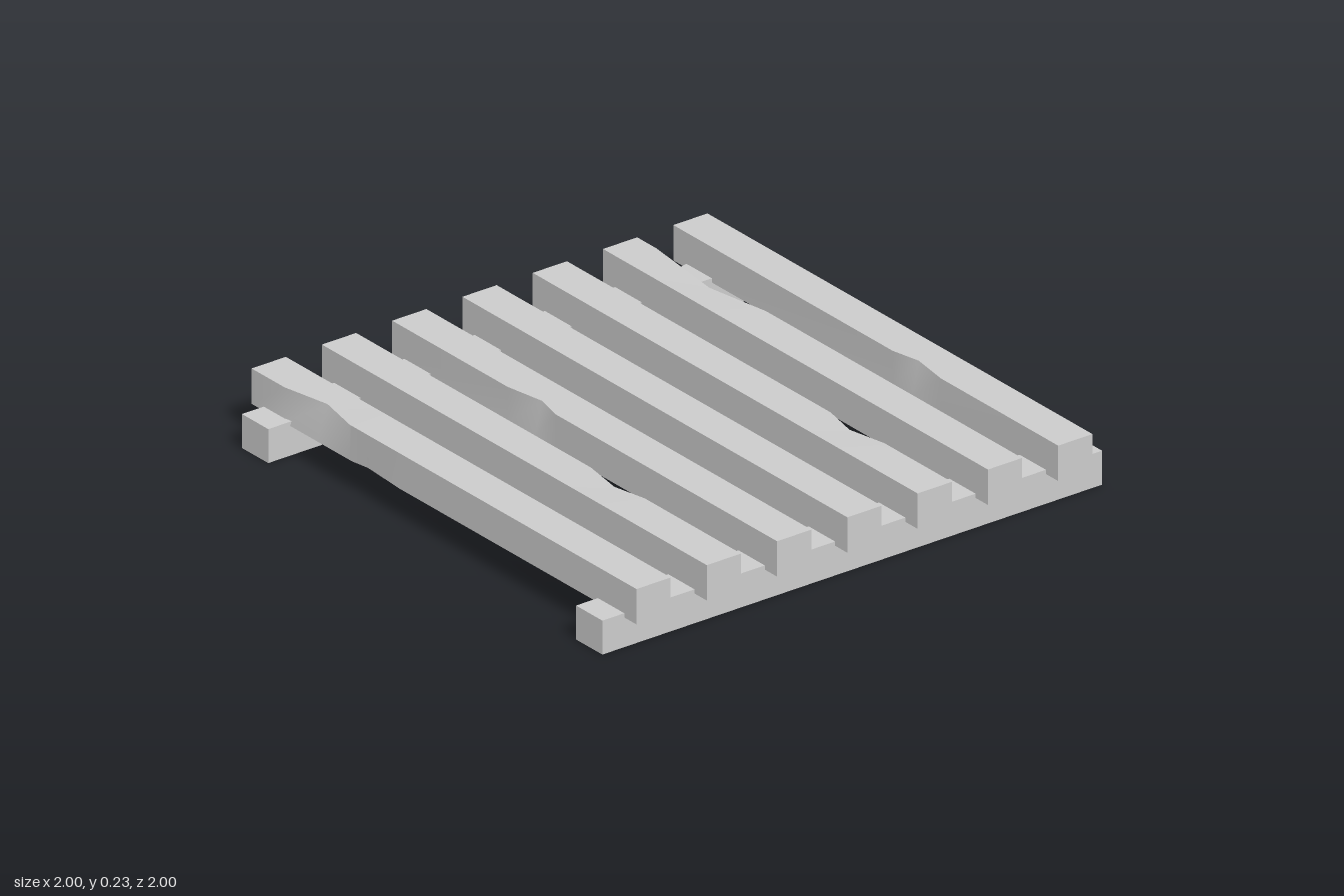
import * as THREE from 'three';

const material = new THREE.MeshStandardMaterial({ color: 0xcccccc });
const WIDTH = 0.137;

// A squared beam along x. Each nick pulls one point of a long edge inwards:
// [start, apex, end, zSide, inset, ySide, shift]
function beam(name, height, nicks) {
  const stations = [-1, 1, ...nicks.flatMap(n => n.slice(0, 3))].sort((a, b) => a - b);
  const n = stations.length - 1;
  const geometry = new THREE.BoxGeometry(n, height, WIDTH, n, 1, 1);
  const p = geometry.attributes.position;
  for (let i = 0; i < p.count; i++) {
    const x = stations[Math.round(p.getX(i) + n / 2)];
    const ySide = Math.sign(p.getY(i)), zSide = Math.sign(p.getZ(i));
    p.setX(i, x);
    for (const [, apex, , zs, inset, ys, shift] of nicks) {
      if (x === apex && zSide === zs && ySide === ys) {
        p.setZ(i, p.getZ(i) - zs * inset);
        p.setY(i, p.getY(i) - ys * shift);
      }
    }
  }
  geometry.computeVertexNormals();
  const mesh = new THREE.Mesh(geometry, material);
  mesh.name = name;
  return mesh;
}

export function createModel() {
  const model = new THREE.Group();
  model.name = 'slattedPallet';

  // Seven cross slats, back to front, with chipped edges
  const slatNicks = [
    [[0.14, 0.24, 0.39, 1, 0.027, 1, 0.004]],
    [[-0.9, -0.58, -0.33, -1, 0.035, 1, 0.004]],
    [[0.37, 0.5, 0.65, -1, 0.025, 1, 0.003]],
    [],
    [[-0.4, -0.26, -0.15, 1, 0.03, 1, 0.004]],
    [[0.22, 0.37, 0.5, -1, 0.022, 1, 0.003]],
    [[-0.83, -0.66, -0.49, 1, 0.042, 1, 0.006], [-0.48, -0.4, -0.23, 1, 0.004, -1, 0.006]],
  ];
  slatNicks.forEach((nicks, i) => {
    const slat = beam('slat' + (i + 1), 0.125, nicks);
    slat.position.set(0, 0.1675, (i - 3) * 0.2813);
    model.add(slat);
  });

  // Two runners underneath, from back to front
  const runnerNicks = {
    right: [[-0.8, -0.62, -0.5, 1, 0.035, 1, 0.003]],
    left: [[0.12, 0.23, 0.35, 1, 0.025, 1, 0.003]],
  };
  for (const side of ['right', 'left']) {
    const runner = beam(side + 'Runner', 0.12, runnerNicks[side]);
    runner.rotation.y = -Math.PI / 2;
    runner.position.set(side === 'left' ? 0.868 : -0.868, 0.06, 0);
    model.add(runner);
  }
  return model;
}
